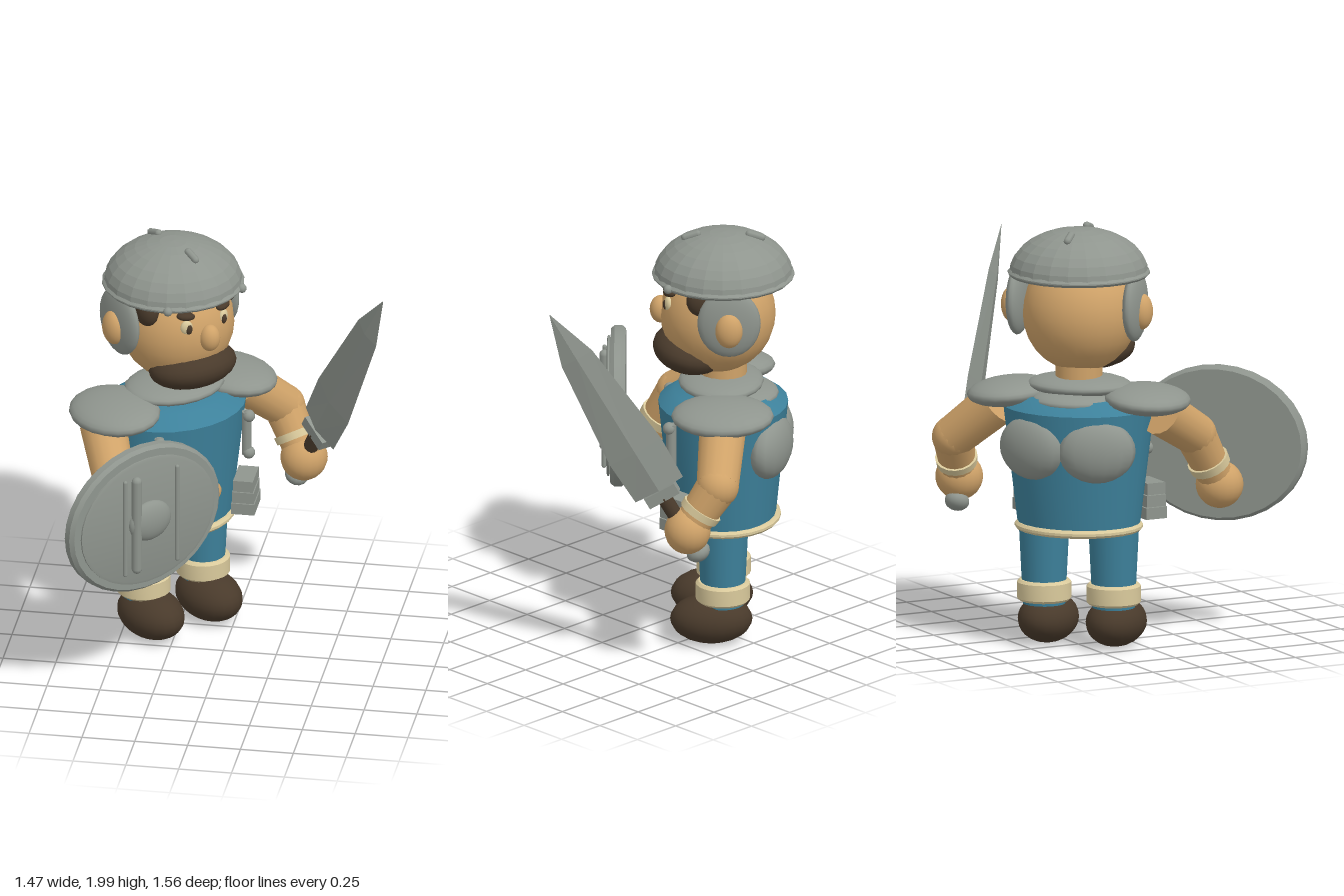
import * as THREE from 'three';
import { toCreasedNormals } from 'three/addons/utils/BufferGeometryUtils.js';

const mat = (name, color) => Object.assign(new THREE.MeshStandardMaterial({ color }), { name });
const V = (x, y, z) => new THREE.Vector3(x, y, z);

export function createModel() {
  const steel = mat('steel', 0x8f958e);
  const blue = mat('blueCloth', 0x3d819b);
  const skin = mat('skin', 0xd0a369);
  const brown = mat('darkBrown', 0x493a2b);
  const cream = mat('cream', 0xdaca9c);

  const model = new THREE.Group();
  const figure = new THREE.Group();
  figure.name = 'soldier';
  figure.rotation.y = Math.PI / 4;
  figure.position.set(-0.282, 0, -0.264);
  model.add(figure);

  const add = (name, geo, material, pos = [0, 0, 0], rot = [0, 0, 0], parent = figure) => {
    const m = new THREE.Mesh(geo, material);
    m.name = name;
    m.position.set(...pos);
    m.rotation.set(...rot);
    parent.add(m);
    return m;
  };
  const blob = (name, material, pos, r, rot, parent, seg = 20) =>
    add(name, new THREE.SphereGeometry(1, seg, 14).scale(...r), material, pos, rot, parent);
  // Tapered limb between two points
  const limb = (name, material, a, b, ra, rb, seg = 16) => {
    const dir = b.clone().sub(a);
    const m = add(name, new THREE.CylinderGeometry(rb, ra, dir.length(), seg), material);
    m.position.copy(a).addScaledVector(dir, 0.5);
    m.quaternion.setFromUnitVectors(V(0, 1, 0), dir.normalize());
    return m;
  };
  const lathe = (pts, seg = 24) =>
    toCreasedNormals(new THREE.LatheGeometry(pts.map(p => new THREE.Vector2(...p)), seg), 0.6);
  const roundDisc = (r, h) => lathe([[0, 0], [r - 0.012, 0], [r, 0.012], [r, h - 0.012], [r - 0.012, h], [0, h]]);

  // Legs, cuffs and shoes
  for (const s of [-1, 1]) {
    add('leg', new THREE.CylinderGeometry(0.12, 0.1, 0.4, 18), blue, [s * 0.17, 0.4, 0]);
    add('bootCuff', roundDisc(0.127, 0.1), cream, [s * 0.17, 0.215, 0]);
    blob('shoe', brown, [s * 0.166, 0.122, 0.054], [0.138, 0.116, 0.192]);
  }

  // Tunic and hem
  add('tunic', lathe([[0, 0.58], [0.288, 0.58], [0.357, 1.15], [0.27, 1.205], [0, 1.205]]).scale(1, 1, 0.85), blue);
  add('tunicHem', roundDisc(0.303, 0.036).scale(1, 1, 0.89), cream, [0, 0.565, 0]);
  blob('belly', skin, [0, 0.78, 0.262], [0.085, 0.062, 0.045]);

  // Armour and fittings mirrored on both sides
  for (const s of [-1, 1]) {
    blob('backPlate', steel, [s * 0.16, 0.98, -0.225], [0.18, 0.15, 0.085], [0, s * -0.38, 0], figure, 14);
    blob('shoulderPad', steel, [s * 0.335, 1.2, 0], [0.2, 0.066, 0.24], [0, 0, s * -0.08]);
    add('strapRod', new THREE.CylinderGeometry(0.024, 0.024, 0.22, 10), steel, [s * 0.25, 1.015, 0.24]);
    for (const y of [0.915, 1.105]) blob('strapStud', steel, [s * 0.255, y, 0.25], [0.03, 0.03, 0.03], undefined, figure, 10);
    for (let i = 0; i < 3; i++)
      add('pouch', new THREE.BoxGeometry(0.175 - i * 0.004, 0.055, 0.11 - i * 0.008), steel,
        [s * 0.277, 0.63 + i * 0.058, 0.195], [0, s * Math.PI / 4, 0]);
  }
  blob('collar', steel, [0, 1.25, 0.01], [0.25, 0.05, 0.2]);
  blob('lowerCollar', steel, [0, 1.19, -0.06], [0.21, 0.05, 0.2]);

  // Head
  add('neck', new THREE.CylinderGeometry(0.11, 0.11, 0.22, 18), skin, [0, 1.3, 0]);
  blob('head', skin, [0, 1.59, 0.025], [0.272, 0.28, 0.27], undefined, figure, 28);
  blob('beard', brown, [0, 1.41, 0.155], [0.22, 0.105, 0.175], [-0.16, 0, 0], figure, 24);
  blob('nose', skin, [0, 1.605, 0.293], [0.05, 0.066, 0.05]);
  for (const s of [-1, 1]) {
    blob('eye', cream, [s * 0.105, 1.67, 0.255], [0.03, 0.036, 0.018], [0, s * 0.4, 0], figure, 12);
    blob('pupil', brown, [s * 0.1, 1.665, 0.268], [0.017, 0.025, 0.012], [0, s * 0.4, 0], figure, 12);
    blob('eyebrow', brown, [s * 0.106, 1.728, 0.25], [0.045, 0.02, 0.028], [0, s * 0.4, s * 0.1], figure, 12);
    blob('sideHair', brown, [s * 0.222, 1.73, 0.1], [0.05, 0.075, 0.07]);
    blob('cheekGuard', steel, [s * 0.285, 1.645, -0.03], [0.045, 0.168, 0.148]);
    blob('ear', skin, [s * 0.318, 1.62, -0.03], [0.05, 0.085, 0.065]);
  }

  // Helmet with faceted dome
  const dome = new THREE.SphereGeometry(1, 22, 8, 0, Math.PI * 2, 0, Math.PI / 2).scale(0.325, 0.21, 0.325).toNonIndexed();
  dome.computeVertexNormals();
  add('helmetDome', dome, steel, [0, 1.782, 0]);
  add('helmetRim', roundDisc(0.333, 0.03), steel, [0, 1.77, 0]);
  for (const s of [-1, 1]) {
    blob('rimStud', steel, [s * 0.212, 1.785, 0.255], [0.022, 0.022, 0.022], undefined, figure, 10);
    add('helmetRidge', new THREE.CapsuleGeometry(0.018, 0.06, 4, 8), steel,
      [0, 1.973, s * 0.15], [Math.PI / 2 + s * 0.3, 0, 0]);
  }

  // Arms: shoulder, elbow, hand
  const arms = [
    [V(-0.4, 1.14, 0), V(-0.5, 1.0, 0.22), V(-0.575, 0.74, 0.36)],
    [V(0.4, 1.14, 0), V(0.62, 0.96, 0.02), V(0.635, 0.745, 0.16)],
  ];
  for (const [shoulder, elbow, hand] of arms) {
    limb('upperArm', skin, shoulder, elbow, 0.11, 0.1);
    blob('elbow', skin, elbow.toArray(), [0.1, 0.1, 0.1]);
    limb('forearm', skin, elbow, hand, 0.098, 0.08);
    const cuffA = elbow.clone().lerp(hand, 0.5), cuffB = elbow.clone().lerp(hand, 0.64);
    limb('wristCuff', cream, cuffA, cuffB, 0.1, 0.097);
    blob('hand', skin, hand.toArray(), [0.112, 0.112, 0.108]);
  }

  // Sword, built upright along y and leaned forward
  const sword = new THREE.Group();
  sword.name = 'sword';
  sword.position.set(0.63, 0.946, 0.292);
  sword.rotation.x = 0.53;
  figure.add(sword);
  // Blade of diamond sections: height, half width
  const rings = [[0, 0.128, 0.026], [0.22, 0.138, 0.026], [0.76, 0.082, 0.018], [1.012, 0.001, 0.001]];
  const pos = [], idx = [];
  for (const [y, w, t] of rings) pos.push(t, y, 0, 0, y, -w, -t, y, 0, 0, y, w);
  for (let r = 0; r < rings.length - 1; r++)
    for (let i = 0; i < 4; i++) {
      const a = r * 4 + i, b = r * 4 + (i + 1) % 4;
      idx.push(a, b, b + 4, a, b + 4, a + 4);
    }
  idx.push(0, 2, 1, 0, 3, 2);
  const indexed = new THREE.BufferGeometry();
  indexed.setAttribute('position', new THREE.Float32BufferAttribute(pos, 3));
  indexed.setIndex(idx);
  const blade = indexed.toNonIndexed();
  blade.computeVertexNormals();
  add('blade', blade, steel, [0, 0, 0], [0, 0, 0], sword);
  add('guard', new THREE.BoxGeometry(0.07, 0.055, 0.16), steel, [0, -0.025, 0], [0, 0, 0], sword);
  add('grip', new THREE.CylinderGeometry(0.036, 0.036, 0.32, 12), brown, [0, -0.2, 0], [0, 0, 0], sword);
  blob('pommel', steel, [0, -0.36, 0], [0.058, 0.045, 0.058], undefined, sword, 14);

  // Oval shield facing forward
  const shield = new THREE.Group();
  shield.name = 'shield';
  shield.position.set(-0.53, 0.91, 0.46);
  figure.add(shield);
  const oval = (rx, ry, d) => lathe([[0, 0], [0.96, 0], [1, 0.25 * d], [1, 0.75 * d], [0.96, d], [0, d]], 32)
    .rotateX(Math.PI / 2).scale(rx, ry, 1);
  add('shieldBody', toCreasedNormals(oval(0.43, 0.368, 0.07), 0.6), steel, [0, 0, 0], [0, 0, 0], shield);
  add('shieldFace', toCreasedNormals(oval(0.38, 0.32, 0.016), 0.6), steel, [0, 0, 0.072], [0, 0, 0], shield);
  blob('shieldBoss', steel, [0.005, 0, 0.09], [0.118, 0.1, 0.045], undefined, shield);
  for (const [x, r] of [[-0.142, 0.011], [-0.076, 0.025], [0.155, 0.011]])
    add('shieldBar', new THREE.CapsuleGeometry(r, 0.5 - 2 * r, 4, 10), steel, [x, 0, 0.1], [0, 0, 0], shield);

  return model;
}
